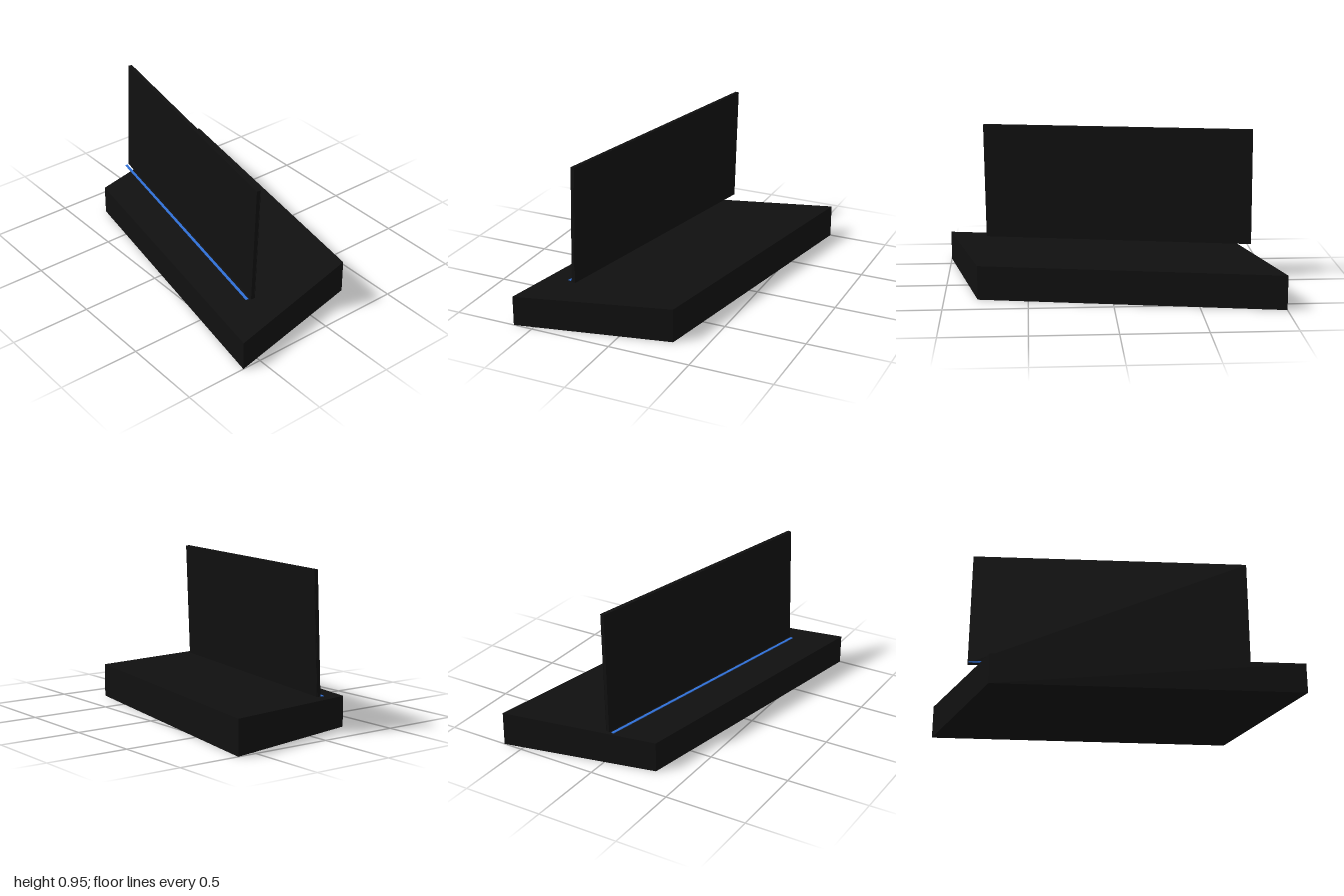
import * as THREE from 'three';

const black = new THREE.MeshStandardMaterial({ color: 0x101010 });
black.name = 'black';
const blue = new THREE.MeshStandardMaterial({ color: 0x2f6fd6 });
blue.name = 'blue';

// Skewed box: an origin corner plus edge vectors along its length, height and depth
function skewBox(name, material, origin, length, height, depth) {
  const geometry = new THREE.BoxGeometry(1, 1, 1);
  const [o, l, h, d] = [origin, length, height, depth].map((a) => new THREE.Vector3(...a));
  const pos = geometry.attributes.position;
  const p = new THREE.Vector3();
  for (let i = 0; i < pos.count; i++) {
    p.copy(o)
      .addScaledVector(l, pos.getX(i) + 0.5)
      .addScaledVector(h, pos.getY(i) + 0.5)
      .addScaledVector(d, pos.getZ(i) + 0.5);
    pos.setXYZ(i, p.x, p.y, p.z);
  }
  geometry.computeVertexNormals();
  const mesh = new THREE.Mesh(geometry, material);
  mesh.name = name;
  return mesh;
}

export function createModel() {
  const group = new THREE.Group();
  group.name = 'panelOnBase';

  // Slanted base slab, with its top dipping toward the front
  const base = skewBox('base', black, [-1, 0, -0.62], [1.8, 0, 0.31], [0, 0.206, 0], [0.2, 0, 0.93]);
  const pos = base.geometry.attributes.position;
  for (let i = 0; i < pos.count; i++) {
    if (pos.getY(i) < 0.1) continue;
    const isFront = Math.abs(pos.getX(i)) > 0.9 ? pos.getX(i) > 0 : pos.getX(i) < 0;
    pos.setY(i, isFront ? 0.183 : 0.207);
  }
  base.geometry.computeVertexNormals();
  group.add(base);

  // Upright panel, leaning back slightly, with a thin cover behind a fine seam
  const run = [1.645, -0.004, 0.31];
  const rise = [0.008, 0.724, -0.023];
  group.add(skewBox('panel', black, [-0.886, 0.225, 0.035], run, rise, [-0.004, 0, 0.02]));
  group.add(skewBox('backCover', black, [-0.8852, 0.225, 0.031], run, rise, [-0.0004, 0, 0.002]));

  // Thin blue strip in front of the panel's lower edge
  group.add(skewBox('lightStrip', blue, [-0.885, 0.223, 0.067], [1.63, -0.002, 0.31], [0, 0.004, 0], [-0.003, 0, 0.016]));

  return group;
}
